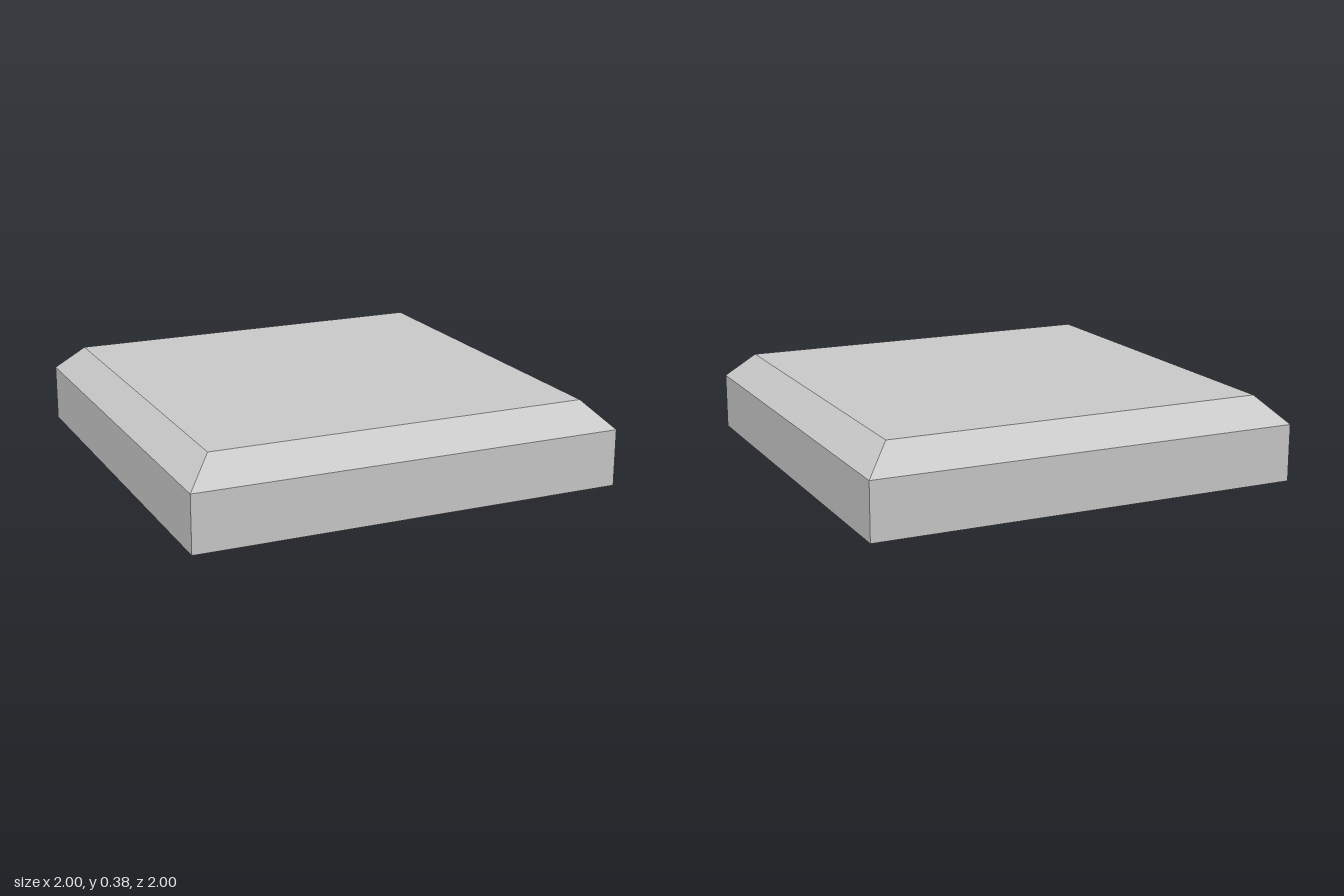
import * as THREE from 'three';

// Square solid: a profile of (half width, height) swept through four flat sides
function squareLathe(profile) {
  const points = profile.map(([half, y]) => new THREE.Vector2(half * Math.SQRT2, y));
  const geometry = new THREE.LatheGeometry(points, 4, Math.PI / 4).toNonIndexed();
  geometry.computeVertexNormals();
  return geometry;
}

export function createModel() {
  const group = new THREE.Group();
  group.name = 'bevelledSlab';
  const material = new THREE.MeshStandardMaterial({ color: 0xcccccc, flatShading: true });

  const slab = new THREE.Mesh(squareLathe([
    [0, 0.09], [0.635, 0.09], [0.726, 0],   // sloped recess underneath
    [1, 0], [1, 0.262],                     // foot rim and upright sides
    [0.88, 0.383], [0, 0.383],              // bevelled edge and flat top
  ]), material);
  slab.name = 'slab';
  group.add(slab);

  return group;
}
